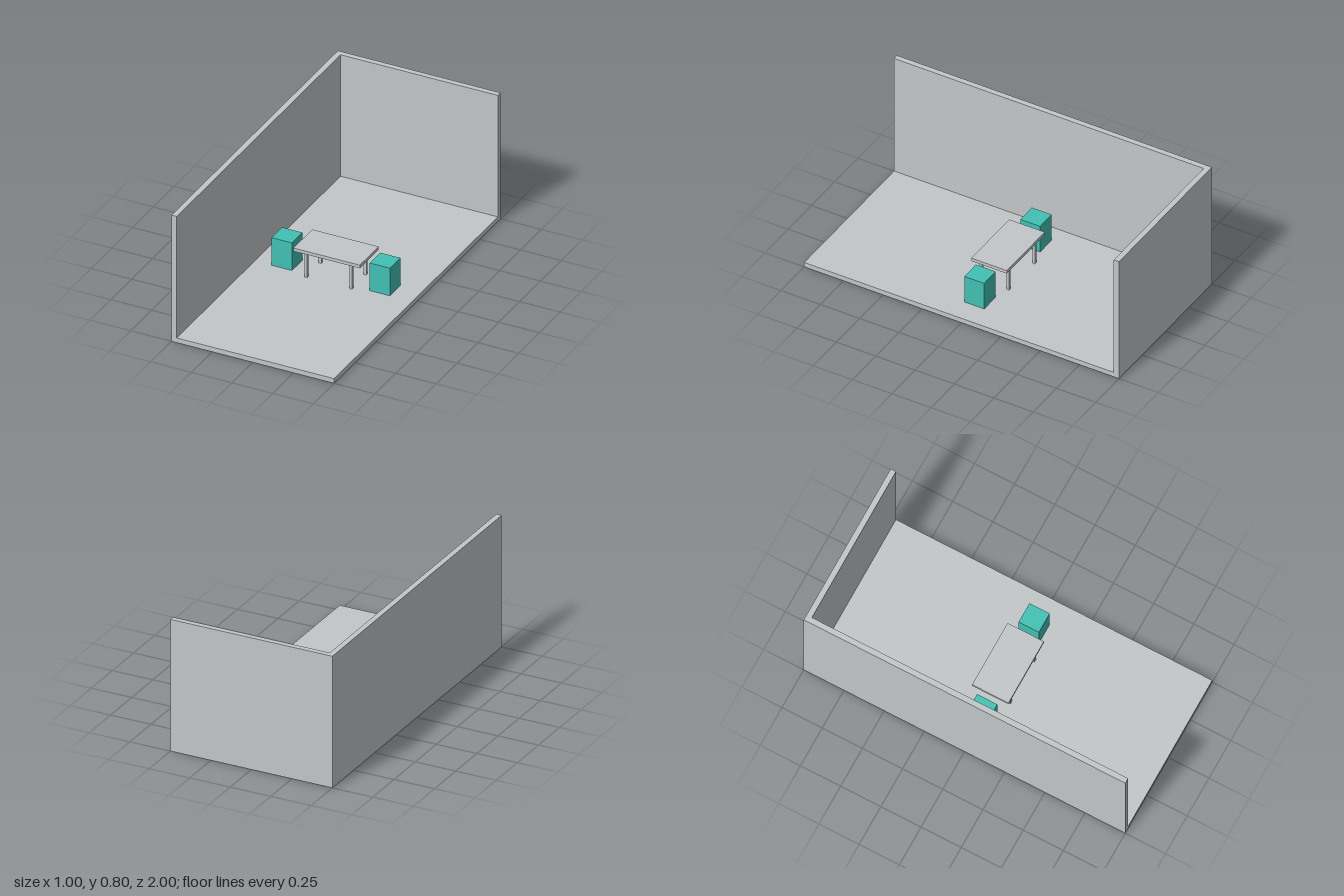
import * as THREE from 'three';

export function createModel() {
  const model = new THREE.Group();
  model.name = 'diningRoom';

  const grey = new THREE.MeshStandardMaterial({ name: 'pale grey', color: 0xc3c6c8 });
  const teal = new THREE.MeshStandardMaterial({ name: 'teal', color: 0x41c1b3 });

  // Box given by its lower and upper limits on each axis
  function box(parent, name, material, [x0, x1], [y0, y1], [z0, z1]) {
    const mesh = new THREE.Mesh(new THREE.BoxGeometry(x1 - x0, y1 - y0, z1 - z0), material);
    mesh.position.set((x0 + x1) / 2, (y0 + y1) / 2, (z0 + z1) / 2);
    mesh.name = name;
    parent.add(mesh);
    return mesh;
  }

  const floorTop = 0.03;
  const wall = 0.033;

  // Room: floor slab with one side wall and a back wall
  const room = new THREE.Group();
  room.name = 'room';
  model.add(room);
  box(room, 'floor', grey, [-0.5, 0.5], [0, floorTop], [-1, 1]);
  box(room, 'sideWall', grey, [-0.5, -0.5 + wall], [floorTop, 0.8], [-1, 1]);
  box(room, 'backWall', grey, [-0.5 + wall, 0.5], [floorTop, 0.8], [-1, -1 + wall]);

  // Table: thin top on four square legs
  const table = new THREE.Group();
  table.name = 'table';
  model.add(table);
  box(table, 'tableTop', grey, [-0.204, 0.204], [0.188, 0.208], [-0.113, 0.113]);
  for (const sx of [-1, 1]) {
    for (const sz of [-1, 1]) {
      const x = sx * 0.138;
      const z = sz * 0.086;
      box(table, 'tableLeg', grey, [x - 0.008, x + 0.008], [floorTop, 0.188], [z - 0.008, z + 0.008]);
    }
  }

  // Block stools at both ends of the table
  for (const side of [-1, 1]) {
    const x = side * 0.301;
    box(model, side > 0 ? 'leftStool' : 'rightStool', teal,
      [x - 0.0625, x + 0.0625], [floorTop, 0.205], [-0.063, 0.063]);
  }

  return model;
}
